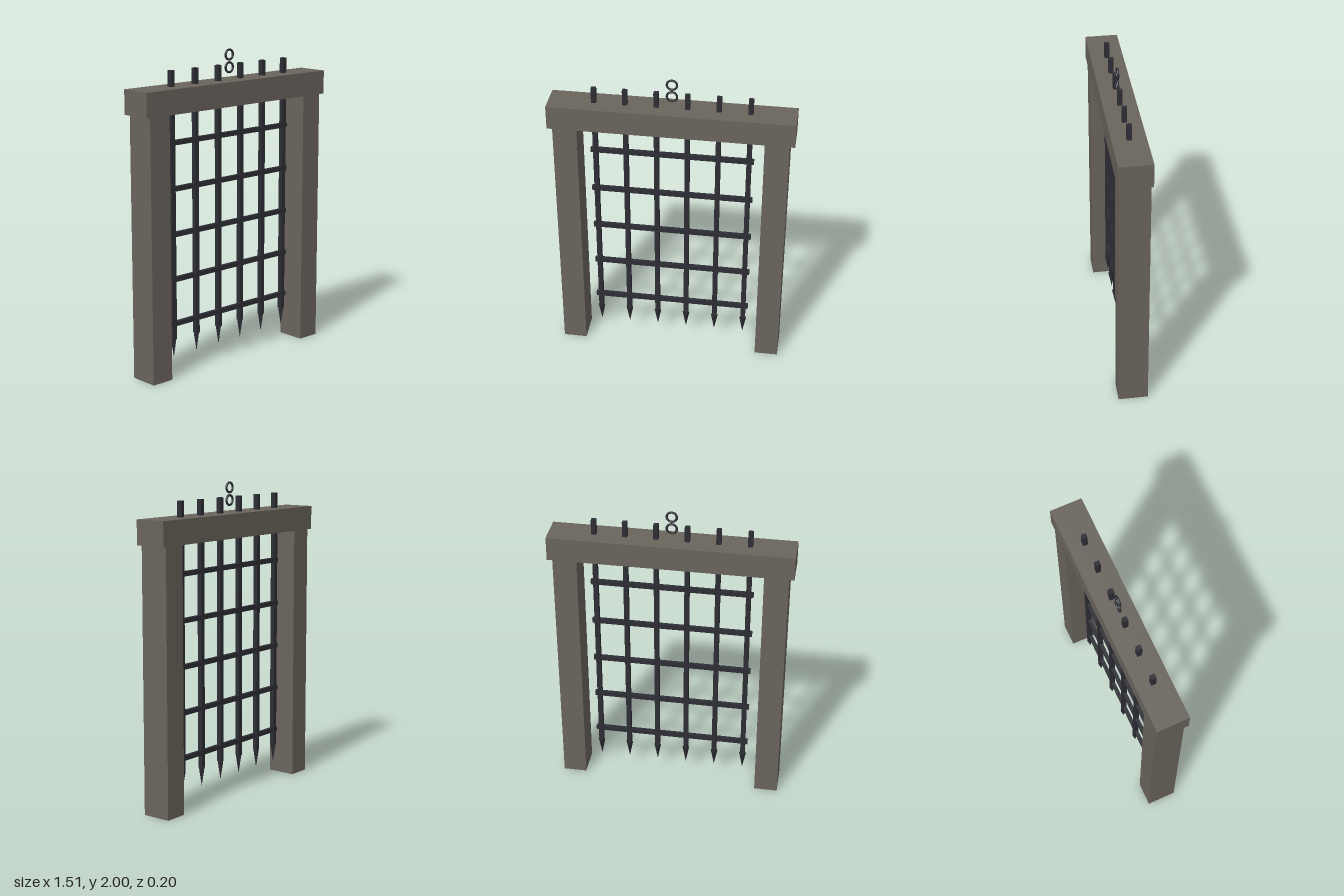
import * as THREE from 'three';

export function createModel() {
  const group = new THREE.Group();
  const stone = new THREE.MeshStandardMaterial({ color: 0x6a645c });
  stone.name = 'stone';
  const iron = new THREE.MeshStandardMaterial({ color: 0x2d2d35, flatShading: true });
  iron.name = 'iron';

  const add = (name, geometry, material, x, y, z = 0) => {
    const mesh = new THREE.Mesh(geometry, material);
    mesh.name = name;
    mesh.position.set(x, y, z);
    group.add(mesh);
    return mesh;
  };

  // Stone frame
  const post = new THREE.BoxGeometry(0.15, 1.655, 0.188);
  add('rightPost', post, stone, -0.648, 0.8275);
  add('leftPost', post, stone, 0.648, 0.8275);
  add('lintel', new THREE.BoxGeometry(1.51, 0.152, 0.205), stone, 0, 1.731);

  // Upright bars passing through the lintel, each with a pointed foot
  const top = 1.905, foot = 0.22, tip = 0.1;
  const bar = new THREE.BoxGeometry(0.03, top - foot, 0.03);
  const spike = new THREE.ConeGeometry(0.023, foot - tip, 4);
  spike.rotateX(Math.PI);
  for (let i = 0; i < 6; i++) {
    const x = (i - 2.5) * 0.1908;
    add('uprightBar', bar, iron, x, (top + foot) / 2);
    add('spike', spike, iron, x, (foot + tip) / 2);
  }

  // Cross bars
  const crossBar = new THREE.BoxGeometry(1.015, 0.03, 0.024);
  for (let i = 0; i < 5; i++) add('crossBar', crossBar, iron, 0, 0.318 + i * 0.2865);

  // Lifting chain links
  const link = new THREE.TorusGeometry(0.031, 0.007, 8, 20);
  for (const y of [1.883, 1.962]) add('chainLink', link, iron, 0, y);

  return group;
}
